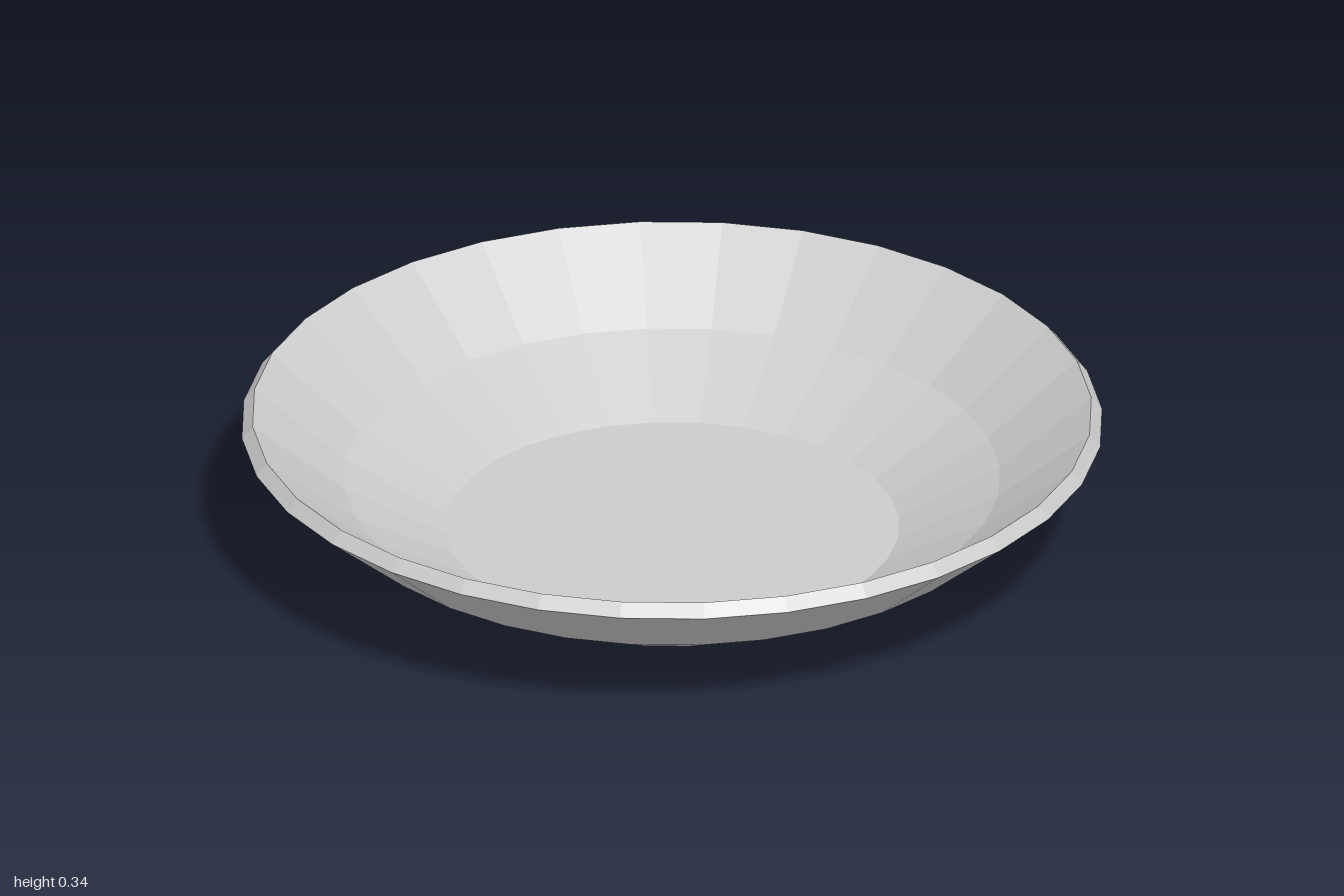
import * as THREE from 'three';

export function createModel() {
  const group = new THREE.Group();
  group.name = 'dish';

  // Closed profile: underside, outer wall, bevelled rim, inner wall, floor
  const profile = [
    [0, 0], [0.54, 0.005], [0.79, 0.135], [1, 0.31],
    [0.975, 0.34], [0.762, 0.17], [0.528, 0.045], [0, 0.045],
  ].map(([r, y]) => new THREE.Vector2(r, y));

  const bowl = new THREE.Mesh(
    new THREE.LatheGeometry(profile, 32),
    new THREE.MeshStandardMaterial({ color: 0xcccccc, flatShading: true })
  );
  bowl.name = 'bowl';
  group.add(bowl);
  return group;
}
